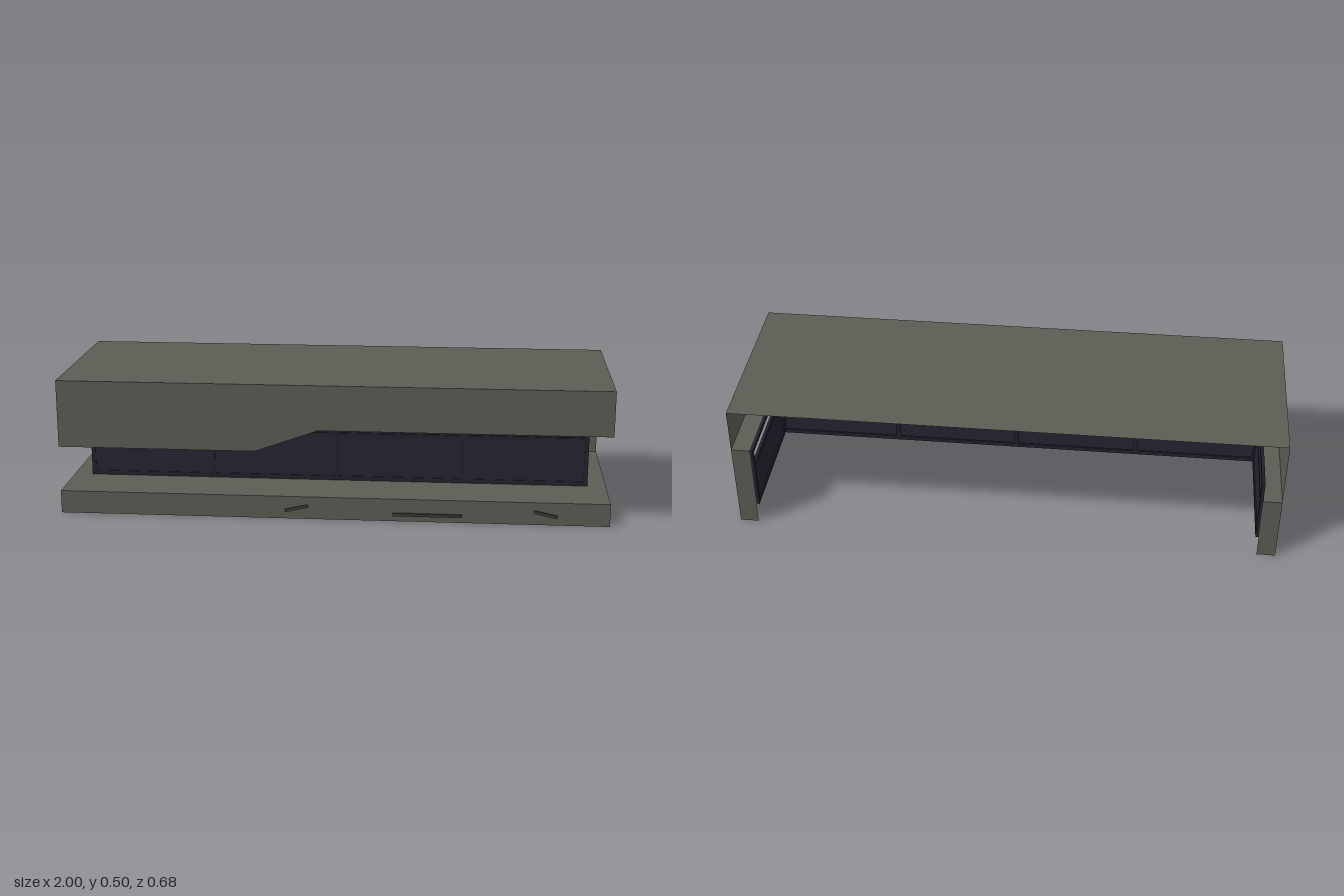
import * as THREE from 'three';

export function createModel() {
  const model = new THREE.Group();
  model.name = 'pavilion';

  const concrete = new THREE.MeshStandardMaterial({ color: 0x5c5c55, side: THREE.DoubleSide });
  concrete.name = 'grey cladding';
  const frameMat = new THREE.MeshStandardMaterial({ color: 0x22212d });
  frameMat.name = 'dark window frame';
  const glassMat = new THREE.MeshStandardMaterial({ color: 0x242331 });
  glassMat.name = 'dark glass';
  const fittingMat = new THREE.MeshStandardMaterial({ color: 0x3c3c38 });
  fittingMat.name = 'dark grey fitting';

  // Main levels and outlines
  const back = -0.338, front = 0.328, glassZ = 0.117, glassX = 0.932;
  const sill = 0.084, low = 0.252, head = 0.334, top = 0.5;

  const add = (parent, name, geometry, material) => {
    const mesh = new THREE.Mesh(geometry, material);
    mesh.name = name;
    parent.add(mesh);
    return mesh;
  };

  // Flat four-cornered panel, corners in order around it
  const panel = (parent, name, a, b, c, d) => {
    const g = new THREE.BufferGeometry();
    g.setAttribute('position', new THREE.Float32BufferAttribute([...a, ...b, ...c, ...d], 3));
    g.setIndex([0, 1, 2, 0, 2, 3]);
    g.computeVertexNormals();
    return add(parent, name, g, concrete);
  };
  const flat = (parent, name, x0, x1, y, z0, z1) =>
    panel(parent, name, [x0, y, z1], [x1, y, z1], [x1, y, z0], [x0, y, z0]);
  const facing = (parent, name, x0, x1, y0, y1, z) =>
    panel(parent, name, [x0, y0, z], [x1, y0, z], [x1, y1, z], [x0, y1, z]);
  const side = (parent, name, x, y0, y1) => x > 0
    ? panel(parent, name, [x, y0, front], [x, y0, back], [x, y1, back], [x, y1, front])
    : panel(parent, name, [x, y0, back], [x, y0, front], [x, y1, front], [x, y1, back]);

  // Roof shell, open at the back, with a fascia that steps up
  const roof = new THREE.Group();
  roof.name = 'roof';
  model.add(roof);
  flat(roof, 'roofTop', -1, 1, top, back, front);
  side(roof, 'roofLeftSide', 1, head, top);
  side(roof, 'roofRightSide', -1, low, top);
  const edge = [[-1, low], [-0.28, low], [-0.05, head], [1, head]];
  const fascia = new THREE.Shape([...edge, [1, top], [-1, top]].map(p => new THREE.Vector2(...p)));
  add(roof, 'fascia', new THREE.ShapeGeometry(fascia), concrete).position.z = front;
  for (let i = 0; i < 3; i++) {
    const [x0, y0] = edge[i], [x1, y1] = edge[i + 1];
    panel(roof, 'soffit', [x0, y0, glassZ], [x1, y1, glassZ], [x1, y1, front], [x0, y0, front]);
  }
  flat(roof, 'leftSoffit', glassX, 1, head, back, glassZ);
  flat(roof, 'rightSoffit', -1, -glassX, low, back, glassZ);

  // Low base band and its ledge
  const base = new THREE.Group();
  base.name = 'base';
  model.add(base);
  facing(base, 'baseFront', -1, 1, 0, sill, front);
  flat(base, 'frontLedge', -1, 1, sill, glassZ, front);
  for (const s of [-1, 1]) {
    side(base, 'baseSide', s, 0, sill);
    flat(base, 'sideLedge', Math.min(s, s * glassX), Math.max(s, s * glassX), sill, back, glassZ);
    // Narrow return wall at the back corner
    facing(base, 'backReturn', Math.min(s, s * glassX), Math.max(s, s * glassX), 0, s > 0 ? head : low, back);
  }

  // Glazed wall in its own frame: x along the wall, +z outward
  const glazing = (name, width, bays) => {
    const wall = new THREE.Group();
    wall.name = name;
    const w = width / 2, bay = width / bays, depth = 0.012;
    const rect = (x0, x1, y0, y1) => [[x0, y0], [x1, y0], [x1, y1], [x0, y1]].map(p => new THREE.Vector2(...p));
    const shape = new THREE.Shape(rect(-w, w, sill, head));
    for (let i = 0; i < bays; i++) {
      const x0 = -w + i * bay + (i ? 0.008 : 0.015);
      const x1 = -w + (i + 1) * bay - (i < bays - 1 ? 0.008 : 0.015);
      for (const [y0, y1] of [[0.1, 0.254], [0.268, 0.319]]) {
        shape.holes.push(new THREE.Path(rect(x0, x1, y0, y1).reverse()));
        const transom = y0 > 0.2;
        const geo = transom ? new THREE.PlaneGeometry(x1 - x0, y1 - y0)
          : new THREE.BoxGeometry(x1 - x0, y1 - y0, 0.004);
        add(wall, transom ? 'transomPane' : 'windowPane', geo, glassMat)
          .position.set((x0 + x1) / 2, (y0 + y1) / 2, -0.005);
      }
    }
    const geo = new THREE.ExtrudeGeometry(shape, { depth, bevelEnabled: false });
    geo.translate(0, 0, -depth);
    add(wall, 'windowFrame', geo, frameMat);
    model.add(wall);
    return wall;
  };
  glazing('frontGlazing', glassX * 2, 4).position.z = glassZ;
  for (const s of [-1, 1]) {
    const wall = glazing(s > 0 ? 'leftGlazing' : 'rightGlazing', glassZ - back, 1);
    wall.rotation.y = s * Math.PI / 2;
    wall.position.set(s * glassX, 0, (glassZ + back) / 2);
  }

  // Small fittings on the base front
  for (const [x, y, length, tilt] of [[-0.13, 0.041, 0.085, 0.22], [0.345, 0.027, 0.25, 0], [0.77, 0.041, 0.085, -0.22]]) {
    const bar = add(model, 'frontFitting', new THREE.BoxGeometry(length, 0.01, 0.01), fittingMat);
    bar.position.set(x, y, front + 0.005);
    bar.rotation.z = tilt;
  }
  return model;
}
